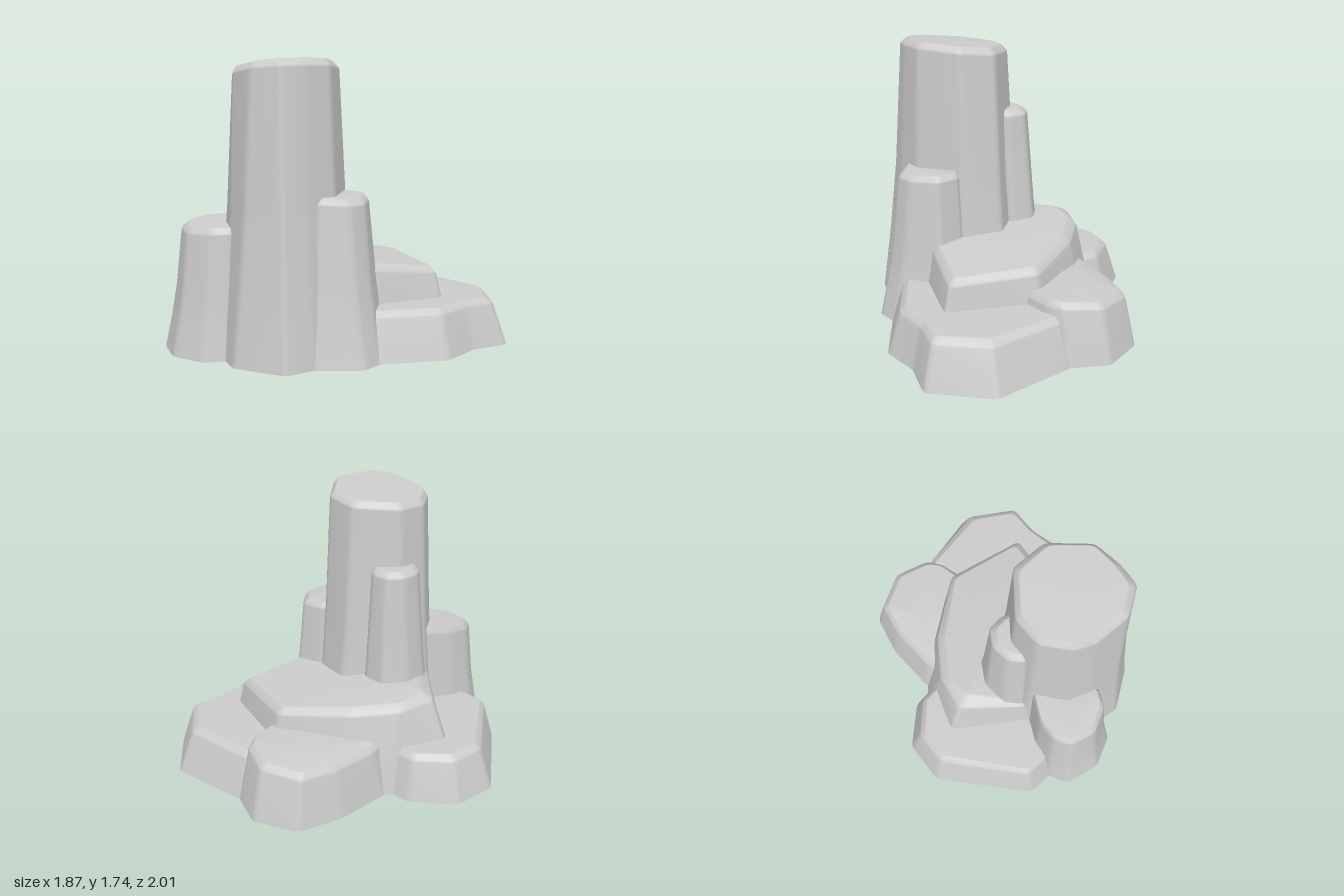
import * as THREE from 'three';

const material = new THREE.MeshStandardMaterial({ color: 0xcccccc, side: THREE.DoubleSide });

// Side profiles: [share of the way out to the base, share of the shoulder height]
const flared = [[1, 0], [0.74, 0.25], [0.5, 0.53], [0.25, 1]];
const straight = [[1, 0], [0.7, 0.5], [0.38, 1]];

// Softens every corner of a closed loop into three points.
function soften(loop, r = 0.028) {
  const out = [];
  loop.forEach((p, i) => {
    const prev = loop[(i + loop.length - 1) % loop.length];
    const next = loop[(i + 1) % loop.length];
    const a = p.clone().lerp(prev, Math.min(0.3, r / p.distanceTo(prev)));
    const b = p.clone().lerp(next, Math.min(0.3, r / p.distanceTo(next)));
    const m = p.clone().multiplyScalar(0.5).addScaledVector(a, 0.25).addScaledVector(b, 0.25);
    out.push(a, m, b);
  });
  return out;
}

// Rock with an open bottom and a chamfered rim.
// Corners run back, +x, front, -x as [baseX, baseZ, topX, topZ, topY?].
function rock(name, height, sides, corners, { tilt = 0, bevel = 0.045, crown } = {}) {
  const base = soften(corners.map(c => new THREE.Vector3(c[0], 0, c[1])));
  const top = soften(corners.map(c => new THREE.Vector3(c[2], c[4] ?? height + tilt * c[2], c[3])));
  const n = base.length;
  const shoulder = sides[sides.length - 1][0];
  const rings = [
    ...sides.map(([k, h]) => [k, y => (y - bevel) * h]),
    ...[[0.84, 0.7], [0.2, 0.1], [0, 0]].map(([k, d]) => [k * shoulder, y => y - bevel * d]),
  ];
  const pos = [], index = [];
  for (const [k, yAt] of rings) {
    for (let i = 0; i < n; i++) {
      const p = top[i].clone().lerp(base[i], k);
      pos.push(p.x, yAt(top[i].y), p.z);
    }
  }
  for (let r = 0; r < rings.length - 1; r++) {
    for (let i = 0; i < n; i++) {
      const j = (i + 1) % n, lo = r * n, hi = lo + n;
      index.push(lo + i, hi + i, hi + j, lo + i, hi + j, lo + j);
    }
  }
  // Top face fanned from its crown
  const centre = new THREE.Vector3();
  if (crown) centre.set(...crown);
  else top.forEach(p => centre.addScaledVector(p, 1 / n));
  pos.push(centre.x, centre.y, centre.z);
  const c = rings.length * n, last = c - n;
  for (let i = 0; i < n; i++) index.push(c, last + (i + 1) % n, last + i);

  const geo = new THREE.BufferGeometry();
  geo.setAttribute('position', new THREE.Float32BufferAttribute(pos, 3));
  geo.setIndex(index);
  geo.computeVertexNormals();
  const mesh = new THREE.Mesh(geo, material);
  mesh.name = name;
  return mesh;
}

export function createModel() {
  const group = new THREE.Group();
  group.name = 'rockFormation';

  // Standing columns
  group.add(rock('mainColumn', 1.7, flared, [
    [0.06, -0.14, 0.05, 0.08], [0.31, -0.08, 0.27, 0.10], [0.57, 0.24, 0.43, 0.28],
    [0.61, 0.49, 0.42, 0.44], [0.59, 0.68, 0.39, 0.57], [0.30, 0.84, 0.26, 0.64],
    [0.13, 0.80, 0.00, 0.61], [-0.10, 0.72, -0.07, 0.54], [-0.29, 0.45, -0.14, 0.42],
    [-0.27, 0.18, -0.12, 0.26],
  ], { tilt: 0.1, bevel: 0.05 }));

  group.add(rock('sideColumn', 0.96, flared, [
    [0.30, -0.08, 0.32, 0.04], [0.53, -0.14, 0.46, 0.03], [0.75, 0.12, 0.565, 0.13, 0.95],
    [0.78, 0.27, 0.58, 0.25, 0.95], [0.60, 0.51, 0.49, 0.37], [0.38, 0.46, 0.36, 0.37],
    [0.26, 0.20, 0.30, 0.20],
  ]));

  group.add(rock('rearColumn', 1.29, flared, [
    [-0.26, -0.07, -0.17, 0.12], [-0.06, -0.06, -0.07, 0.12], [0.06, 0.16, 0.02, 0.19],
    [0.03, 0.38, 0.00, 0.31], [-0.12, 0.50, -0.12, 0.36], [-0.30, 0.46, -0.18, 0.33],
    [-0.40, 0.34, -0.22, 0.27], [-0.40, 0.12, -0.22, 0.18],
  ]));

  group.add(rock('frontColumn', 0.77, flared, [
    [-0.20, 0.38, -0.19, 0.46, 0.80], [0.05, 0.45, 0.03, 0.51, 0.78], [0.15, 0.62, 0.09, 0.60],
    [0.18, 0.78, 0.105, 0.71], [0.11, 0.93, 0.05, 0.80], [-0.10, 1.01, -0.10, 0.865, 0.76],
    [-0.33, 0.94, -0.245, 0.82], [-0.39, 0.80, -0.30, 0.73, 0.78], [-0.35, 0.62, -0.29, 0.61, 0.79],
  ]));

  // Raised ledge behind the columns, with a wide chamfer at its left tip
  group.add(rock('raisedLedge', 0.55, straight, [
    [0.11, -0.67, 0.10, -0.54, 0.50], [0.73, -0.48, 0.57, -0.42, 0.48],
    [0.60, 0.02, 0.49, -0.05, 0.53], [0.45, 0.35, 0.35, 0.28, 0.55],
    [-0.22, 0.55, -0.25, 0.38, 0.56], [-0.76, 0.16, -0.43, 0.12, 0.575],
    [-0.55, -0.22, -0.46, -0.03, 0.555], [-0.33, -0.44, -0.26, -0.28, 0.54],
  ], { bevel: 0.055, crown: [-0.1, 0.565, 0] }));

  // Low slabs around the foot
  group.add(rock('backSlab', 0.29, straight, [
    [0.08, -0.92, 0.12, -0.80], [0.62, -1.00, 0.58, -0.84], [0.94, -0.74, 0.82, -0.67],
    [0.89, -0.49, 0.80, -0.49], [0.94, -0.24, 0.82, -0.26], [0.73, 0.18, 0.65, 0.08],
    [0.30, 0.15, 0.32, 0.08], [0.00, -0.25, 0.06, -0.25], [-0.02, -0.65, 0.05, -0.62],
  ]));

  group.add(rock('backBoulder', 0.37, straight, [
    [-0.13, -1.01, -0.12, -0.88, 0.355], [0.11, -0.92, 0.08, -0.80, 0.37],
    [0.19, -0.78, 0.13, -0.73, 0.37], [0.25, -0.55, 0.15, -0.56, 0.37],
    [0.08, -0.20, 0.04, -0.26, 0.37], [-0.48, -0.18, -0.40, -0.24, 0.34],
    [-0.51, -0.27, -0.41, -0.32, 0.33], [-0.49, -0.62, -0.39, -0.60, 0.33],
    [-0.40, -0.89, -0.34, -0.79, 0.34],
  ], { crown: [-0.24, 0.375, -0.58] }));

  group.add(rock('leftSlab', 0.29, straight, [
    [-0.66, -0.22, -0.62, -0.12], [-0.40, -0.23, -0.44, -0.12], [-0.14, 0.10, -0.20, 0.12],
    [-0.12, 0.55, -0.20, 0.52], [-0.34, 0.81, -0.34, 0.70], [-0.55, 0.80, -0.50, 0.69],
    [-0.73, 0.55, -0.65, 0.47], [-0.94, 0.26, -0.81, 0.23], [-0.90, -0.03, -0.79, 0.04],
  ]));

  return group;
}
